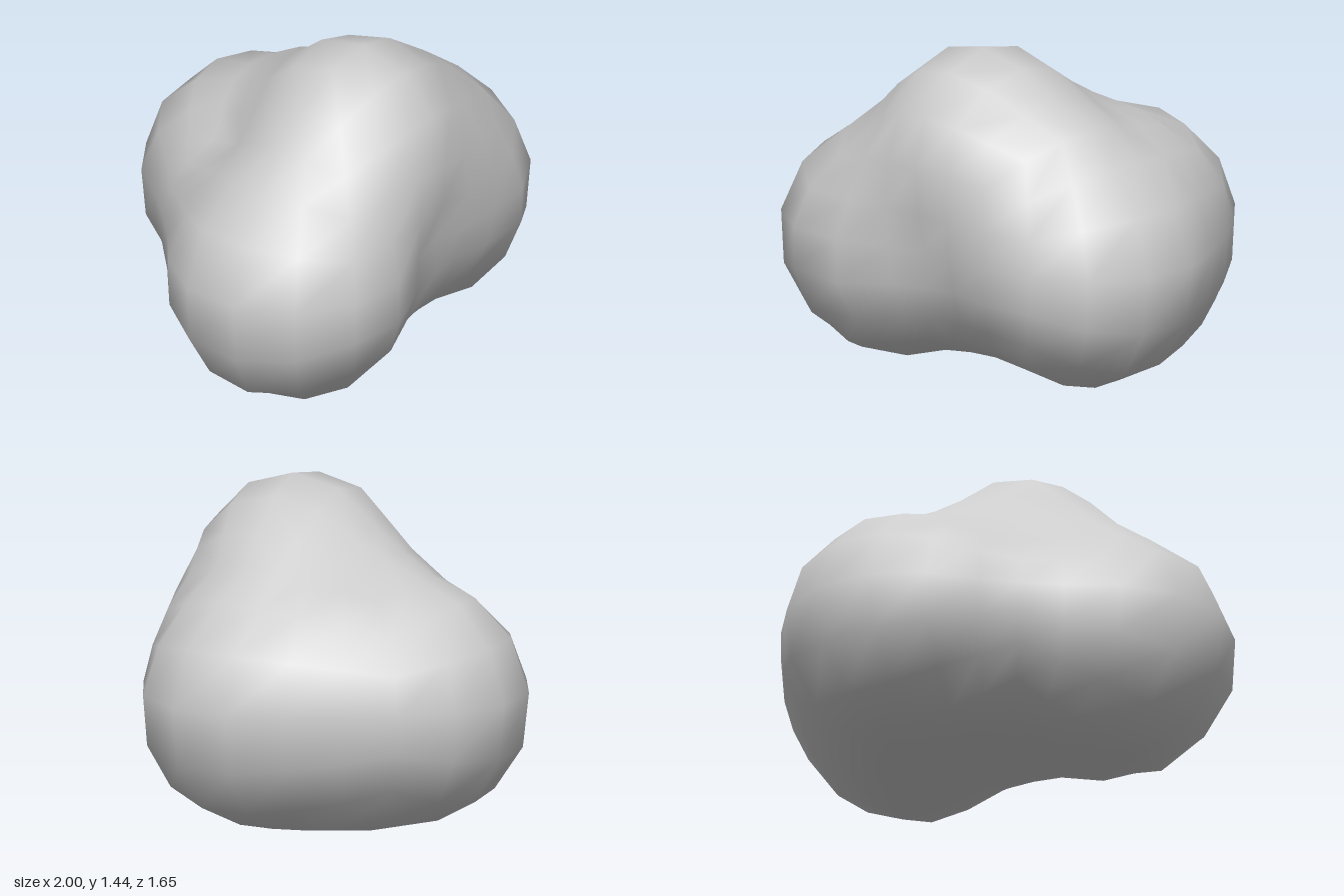
import * as THREE from 'three';
import { mergeVertices } from 'three/addons/utils/BufferGeometryUtils.js';

// Lobes of the boulder: centre and radius
const lobe = (x, y, z, r) => ({ c: new THREE.Vector3(x, y, z), r });
const rightLobe = lobe(-0.485, 0.528, 0.31, 0.53);
const leftLobe = lobe(0.482, 0.555, 0.22, 0.53);
const backLobe = lobe(0.16, 0.56, -0.305, 0.53);
const peak = lobe(-0.02, 0.99, 0.315, 0.458);

// Bridges between lobes; the last value swells (+) or pinches (-) the middle
const bridges = [
  [leftLobe, backLobe, 0.025],
  [rightLobe, peak, -0.03],
  [leftLobe, peak, 0.01],
  [backLobe, peak, -0.05],
  [rightLobe, backLobe, -0.035],
  [rightLobe, leftLobe, -0.075],
];

// Approximate distance from a point to the nearest bridge surface
function distance(p) {
  let best = Infinity;
  for (const [a, b, swell] of bridges) {
    const axis = b.c.clone().sub(a.c);
    const t = THREE.MathUtils.clamp(p.clone().sub(a.c).dot(axis) / axis.lengthSq(), 0, 1);
    const r = THREE.MathUtils.lerp(a.r, b.r, t) + swell * 4 * t * (1 - t);
    best = Math.min(best, p.distanceTo(a.c.clone().addScaledVector(axis, t)) - r);
  }
  return best;
}

export function createModel() {
  const group = new THREE.Group();
  group.name = 'boulder';

  // Cube-sphere grid with shared vertices
  const box = new THREE.BoxGeometry(2, 2, 2, 6, 6, 6);
  box.deleteAttribute('uv');
  box.deleteAttribute('normal');
  const geometry = mergeVertices(box, 1e-4);
  const pos = geometry.attributes.position;

  // Shrink each vertex along its ray until it meets the lobes
  const core = new THREE.Vector3(0, 0.62, 0.12);
  const dir = new THREE.Vector3();
  const p = new THREE.Vector3();
  const warp = (v) => Math.tan(v * Math.PI / 4);
  for (let i = 0; i < pos.count; i++) {
    dir.set(warp(pos.getX(i)), warp(pos.getY(i)), warp(pos.getZ(i))).normalize();
    let r = 1.6;
    for (let step = 0; step < 60; step++) {
      p.copy(core).addScaledVector(dir, r);
      r -= 0.7 * distance(p);
    }
    p.copy(core).addScaledVector(dir, r);
    pos.setXYZ(i, p.x, p.y, p.z);
  }
  geometry.computeVertexNormals();

  const rock = new THREE.Mesh(geometry, new THREE.MeshStandardMaterial({ color: 0xcccccc }));
  rock.name = 'rock';
  group.add(rock);
  return group;
}
